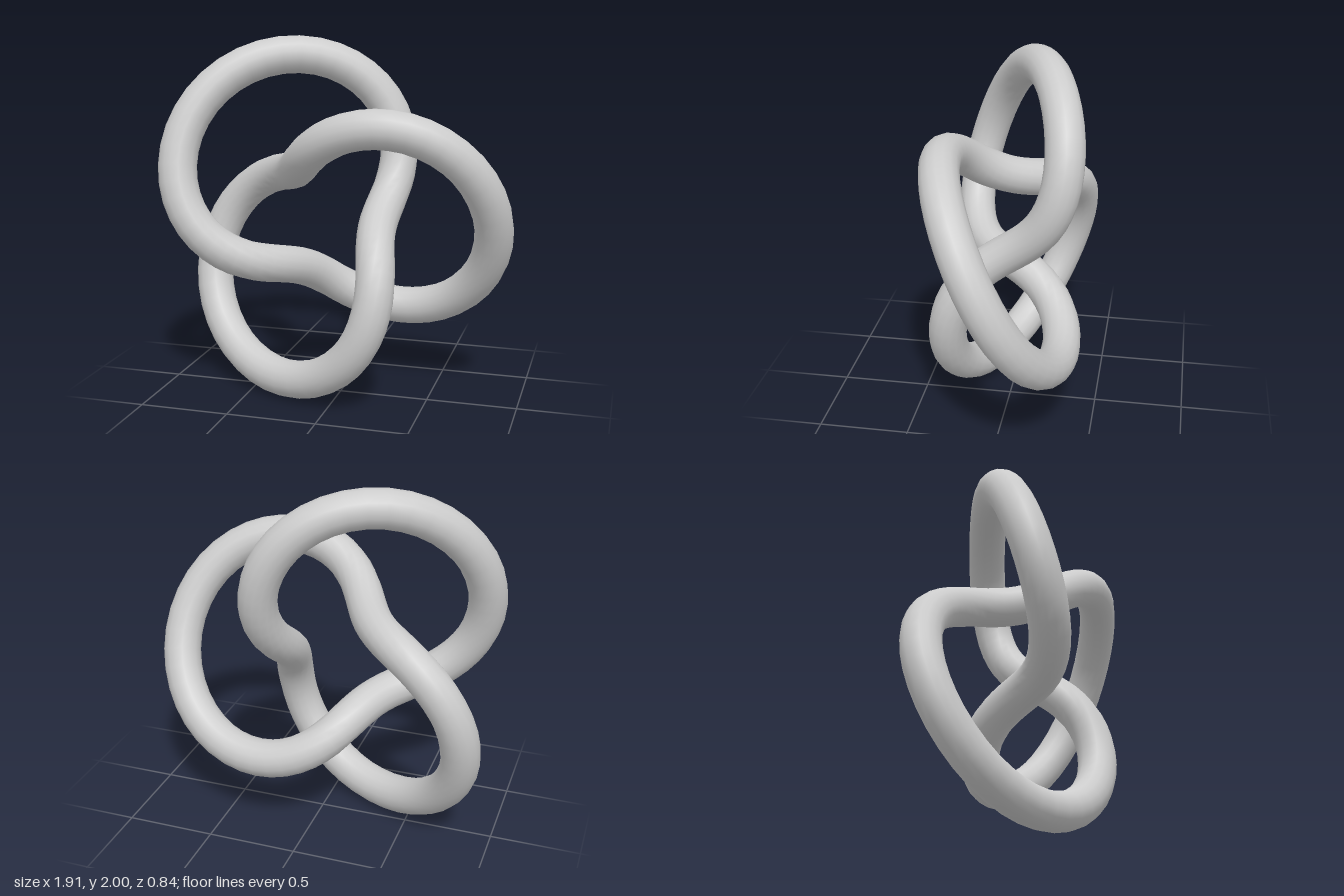
import * as THREE from 'three';

export function createModel() {
  const model = new THREE.Group();
  const material = new THREE.MeshStandardMaterial({ color: 0xcccccc });

  // Trefoil: a round tube winding twice around the axis with three lobes
  const radius = 0.633;
  const tube = radius / 6;
  const geometry = new THREE.TorusKnotGeometry(radius, tube, 128, 16, 2, 3);

  const knot = new THREE.Mesh(geometry, material);
  knot.name = 'trefoilKnot';

  // Centre it on x and z and stand it on the ground
  geometry.computeBoundingBox();
  const { min, max } = geometry.boundingBox;
  knot.position.set(-(min.x + max.x) / 2, -min.y, -(min.z + max.z) / 2);

  model.add(knot);
  return model;
}
